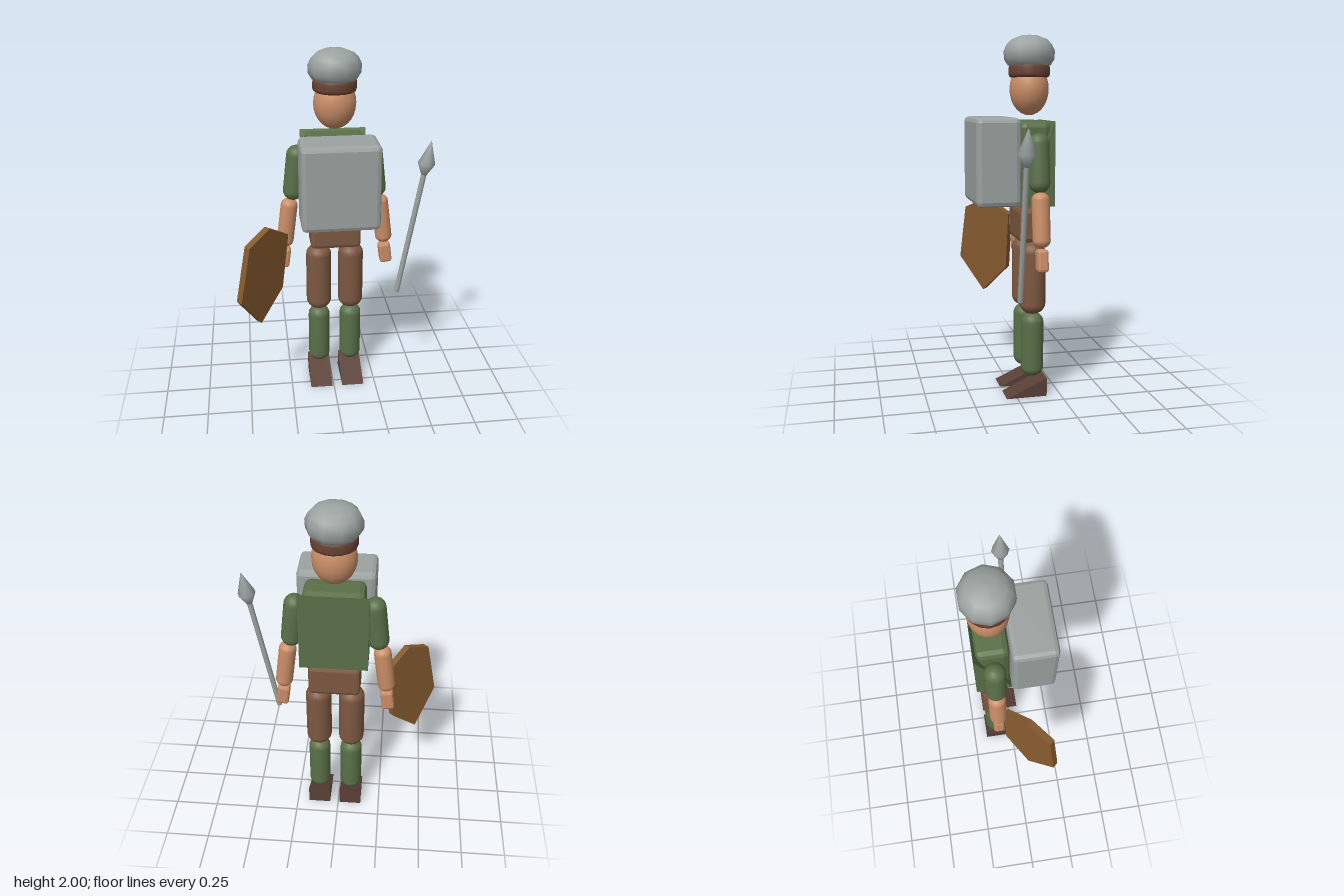
import * as THREE from 'three';
import { RoundedBoxGeometry } from 'three/addons/geometries/RoundedBoxGeometry.js';

const CX = 0.021, CZ = -0.1; // body axis

const flat = (color) => new THREE.MeshStandardMaterial({ color, flatShading: true });
const smooth = (color) => new THREE.MeshStandardMaterial({ color });

const GREY = 0x9ba29f, GREEN = 0x5a7048, SKIN = 0xc98d66, BROWN = 0x7d5841;
const DARK = 0x5a4036, BAND = 0x6a4234, WOOD = 0x855a2e;

export function createModel() {
  const model = new THREE.Group();
  model.name = 'figure';

  function add(name, geometry, material, x = 0, y = 0, z = 0, parent = model) {
    const mesh = new THREE.Mesh(geometry, material);
    mesh.name = name;
    mesh.position.set(x, y, z);
    parent.add(mesh);
    return mesh;
  }

  // Box with chamfered edges, given by its limits
  function chamferBox(name, color, [x0, x1], [y0, y1], [z0, z1], bevel) {
    const geo = new RoundedBoxGeometry(x1 - x0, y1 - y0, z1 - z0, 1, bevel);
    return add(name, geo, flat(color), (x0 + x1) / 2, (y0 + y1) / 2, (z0 + z1) / 2);
  }

  // Rounded limb between two points; cap is the height of its rounded ends
  function limb(name, color, top, bottom, radius, cap) {
    const a = new THREE.Vector3(...top), b = new THREE.Vector3(...bottom);
    const half = a.distanceTo(b) / 2;
    const points = [];
    for (const end of [-1, 1]) {
      for (let i = 0; i <= 6; i++) {
        const t = (end < 0 ? i : 6 - i) / 6 * Math.PI / 2;
        points.push(new THREE.Vector2(radius * Math.sin(t), end * (half - cap + cap * Math.cos(t))));
      }
    }
    const mesh = add(name, new THREE.LatheGeometry(points, 20), smooth(color));
    mesh.position.copy(a).add(b).multiplyScalar(0.5);
    mesh.quaternion.setFromUnitVectors(new THREE.Vector3(0, 1, 0), a.sub(b).normalize());
    return mesh;
  }

  // Wedge: side triangle of [z, y] points, extruded across x
  function wedge(name, color, points, x0, x1) {
    const shape = new THREE.Shape(points.map(([z, y]) => new THREE.Vector2(-z, y)));
    const geo = new THREE.ExtrudeGeometry(shape, { depth: x1 - x0, bevelEnabled: false });
    geo.rotateY(Math.PI / 2);
    return add(name, geo, flat(color), x0, 0, 0);
  }

  // Lathe around the body axis from [radius, y] points
  function turned(name, material, profile, sides, depthScale) {
    const points = profile.map(([r, y]) => new THREE.Vector2(r, y));
    const geo = new THREE.LatheGeometry(points, sides, Math.PI / 2);
    geo.scale(1, 1, depthScale);
    return add(name, geo, material, CX, 0, CZ);
  }

  // Head, band and cap
  const head = add('head', new THREE.SphereGeometry(1, 20, 14), smooth(SKIN), CX, 1.71, CZ);
  head.scale.set(0.117, 0.142, 0.107);
  turned('headband', smooth(BAND), [
    [0, 1.772], [0.105, 1.772], [0.115, 1.778], [0.12, 1.79],
    [0.12, 1.825], [0.115, 1.838], [0.105, 1.845], [0, 1.845],
  ], 16, 0.95);
  turned('cap', smooth(GREY), [
    [0, 1.825], [0.09, 1.828], [0.122, 1.838], [0.143, 1.87], [0.145, 1.915],
    [0.128, 1.95], [0.1, 1.977], [0.05, 1.996], [0, 2],
  ], 10, 0.96);

  // Torso, chest block, back panel and hips
  chamferBox('chestBlock', GREY, [-0.19, 0.233], [1.09, 1.56], [-0.01, 0.23], 0.026);
  chamferBox('torso', GREEN, [-0.142, 0.184], [1.08, 1.54], [-0.186, -0.014], 0.032);
  wedge('backPanel', GREEN, [[0, 1.083], [-0.2, 1.083], [-0.2, 1.54]], -0.163, 0.205);
  chamferBox('hips', BROWN, [-0.122, 0.164], [0.88, 1.066], [-0.182, -0.018], 0.022);

  // Arms and legs, mirrored about the body axis
  for (const side of [-1, 1]) {
    const label = side < 0 ? 'right' : 'left';
    const x = (d) => CX + side * d;

    limb(label + 'UpperArm', GREEN, [x(0.205), 1.48, CZ], [x(0.24), 1.165, CZ], 0.057, 0.055);
    limb(label + 'Forearm', SKIN, [x(0.253), 1.172, CZ], [x(0.29), 0.88, CZ], 0.048, 0.04);
    const hand = add(label + 'Hand', new RoundedBoxGeometry(0.07, 0.122, 0.062, 1, 0.015),
      flat(SKIN), x(0.295), 0.813, CZ);
    hand.rotation.z = side * 0.13;

    limb(label + 'Thigh', BROWN, [x(0.094), 0.88, CZ], [x(0.094), 0.468, CZ], 0.073, 0.06);
    limb(label + 'Shin', GREEN, [x(0.094), 0.477, CZ], [x(0.094), 0.105, CZ], 0.063, 0.055);
    wedge(label + 'Foot', DARK, [[0.06, 0], [-0.17, 0], [-0.17, 0.105]],
      x(0.094) - 0.065, x(0.094) + 0.065);
  }

  // Six-sided shield beside the right hand
  const outline = [[0.03, 0.265], [-0.124, 0.2], [-0.184, -0.12], [-0.021, -0.32], [0.154, -0.155], [0.187, 0.175]];
  const shieldGeo = new THREE.ExtrudeGeometry(
    new THREE.Shape(outline.map(([u, v]) => new THREE.Vector2(u, v))),
    { depth: 0.038, bevelEnabled: false });
  shieldGeo.translate(0, 0, -0.038);
  const shield = add('shield', shieldGeo, flat(WOOD), -0.39, 0.8, 0.08);
  shield.rotation.set(0.07, Math.PI / 4, 0, 'YXZ');

  // Spear leaning outwards on the left
  const spear = new THREE.Group();
  spear.name = 'spear';
  spear.position.set(0.368, 0.61, 0.03);
  spear.rotation.z = -0.178;
  model.add(spear);
  add('spearShaft', new THREE.CylinderGeometry(0.015, 0.015, 0.74, 10), smooth(GREY), 0, 0.37, 0, spear);
  const tip = [[0, 0.725], [0.016, 0.73], [0.05, 0.795], [0, 0.925]];
  add('spearHead', new THREE.LatheGeometry(tip.map(([r, y]) => new THREE.Vector2(r, y)), 8),
    smooth(GREY), 0, 0, 0, spear);

  return model;
}
